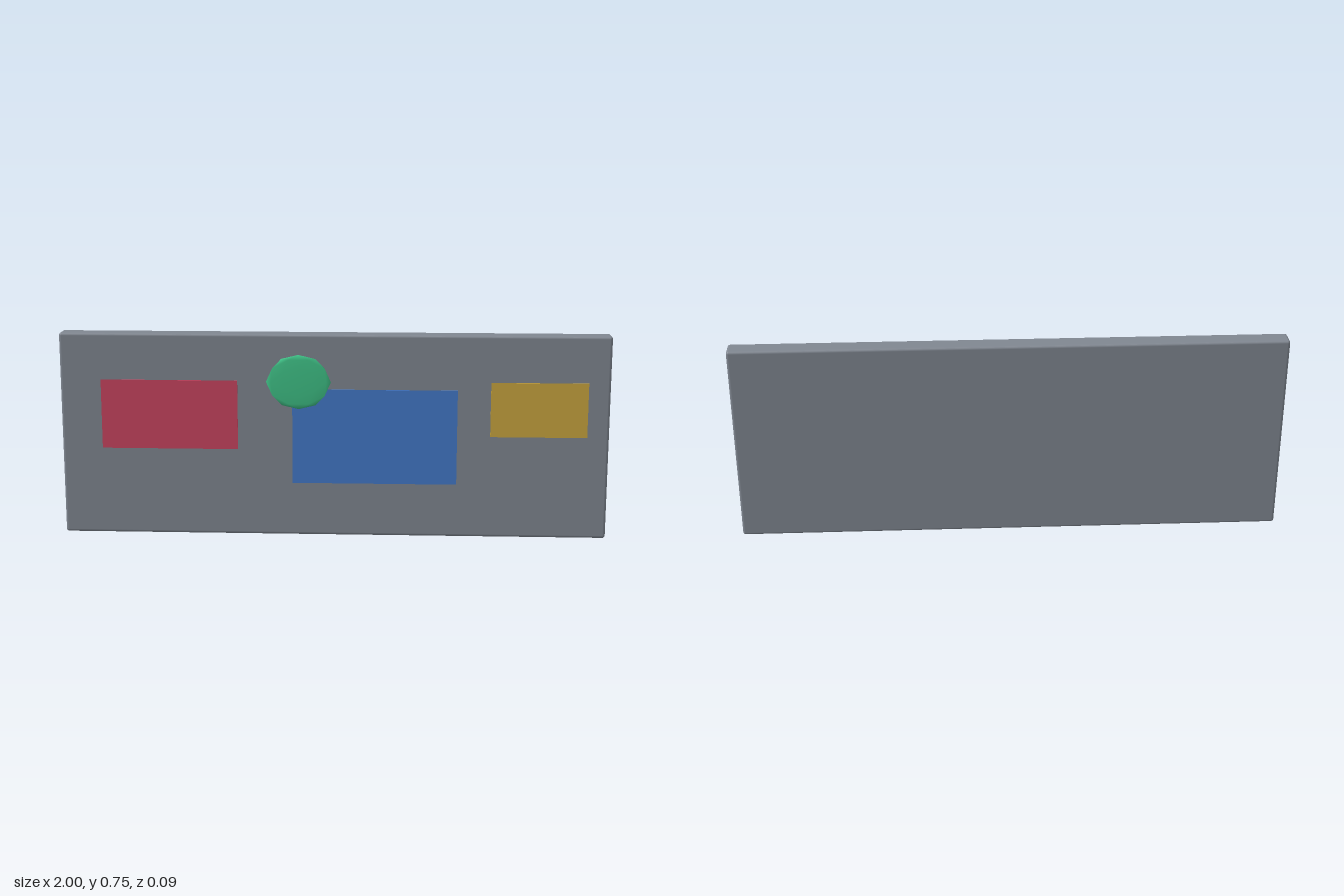
import * as THREE from 'three';
import { RoundedBoxGeometry } from 'three/addons/geometries/RoundedBoxGeometry.js';

function material(name, color) {
  const m = new THREE.MeshStandardMaterial({ color });
  m.name = name;
  return m;
}

export function createModel() {
  const group = new THREE.Group();
  group.name = 'wallPanel';

  const add = (name, geometry, mat, x, y, z) => {
    const mesh = new THREE.Mesh(geometry, mat);
    mesh.name = name;
    mesh.position.set(x, y, z);
    group.add(mesh);
    return mesh;
  };

  // Slab with softly rounded edges
  add('panel', new RoundedBoxGeometry(2, 0.75, 0.073, 3, 0.01),
    material('slate grey', 0x808791), 0, 0.375, -0.0055);

  // Thin coloured plates floating just in front of the slab: x0, x1, y0, y1
  const plates = [
    ['redPlate', material('red', 0xc94460), -0.85, -0.35, 0.325, 0.58],
    ['bluePlate', material('blue', 0x4479c9), -0.15, 0.45, 0.2, 0.55],
    ['yellowPlate', material('yellow', 0xc9a53f), 0.57, 0.92, 0.38, 0.58],
  ];
  for (const [name, mat, x0, x1, y0, y1] of plates) {
    add(name, new THREE.BoxGeometry(x1 - x0, y1 - y0, 0.004), mat,
      (x0 + x1) / 2, (y0 + y1) / 2, 0.037);
  }

  // Flattened faceted disc overlapping the blue plate's corner
  const disc = new THREE.IcosahedronGeometry(1, 1);
  disc.scale(0.118, 0.1, 0.005);
  add('greenDisc', disc, material('green', 0x3fc287), -0.127, 0.577, 0.039);

  return group;
}
